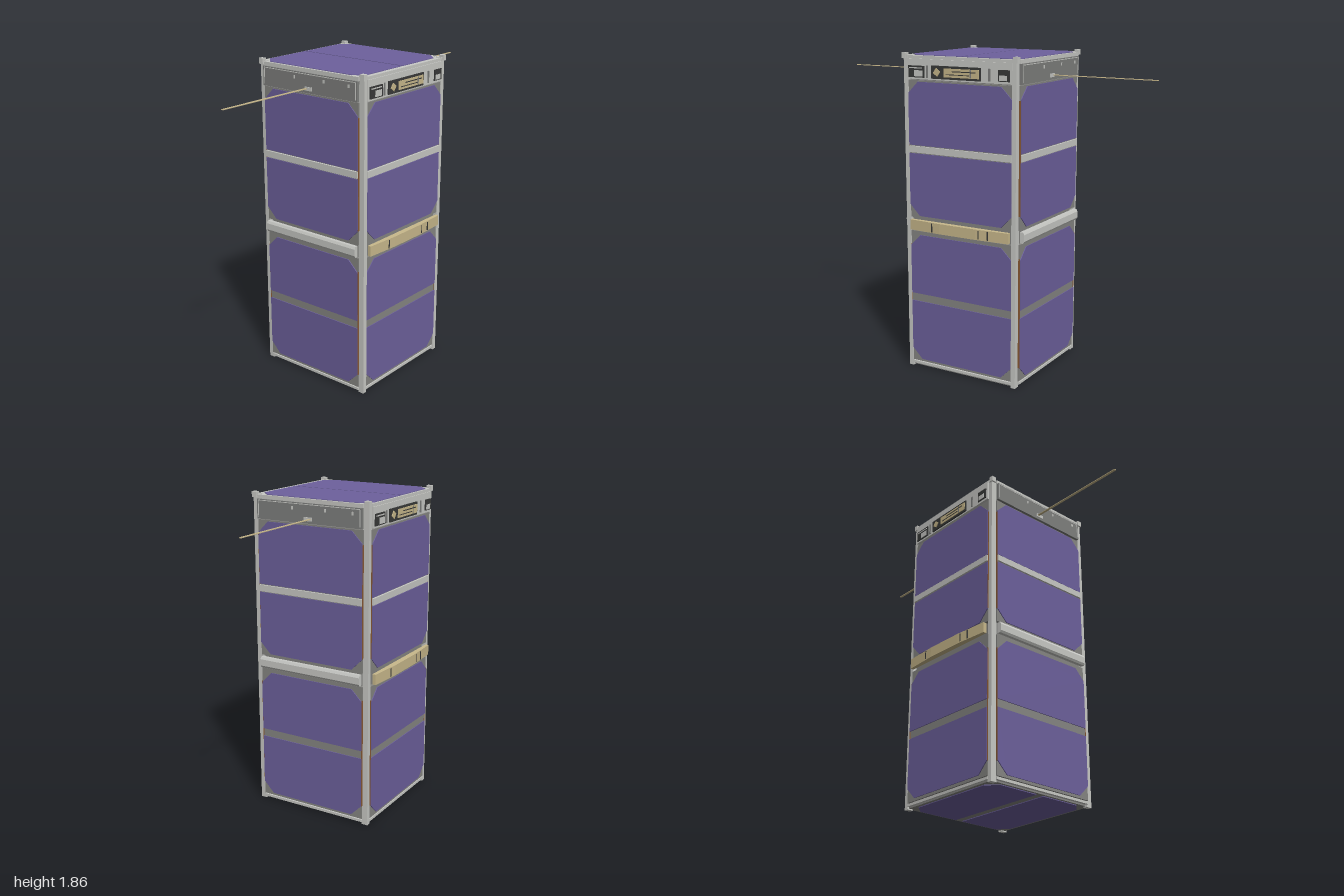
import * as THREE from 'three';

const mat = (name, color) => {
  const m = new THREE.MeshStandardMaterial({ color, side: THREE.DoubleSide });
  m.name = name;
  return m;
};

export function createModel() {
  const M = {
    cell: mat('solar cell purple', 0x6d619d),
    board: mat('panel grey', 0x868683),
    metal: mat('light aluminium', 0xc9cac6),
    head: mat('head grey', 0x7f807e),
    dark: mat('dark grey', 0x393a39),
    tan: mat('tan', 0xc9b98c),
    edge: mat('board edge brown', 0x8a5a35),
  };
  const model = new THREE.Group();
  model.name = 'satellite';

  const add = (parent, name, geo, material, x = 0, y = 0, z = 0) => {
    const mesh = new THREE.Mesh(geo, material);
    mesh.name = name;
    mesh.position.set(x, y, z);
    parent.add(mesh);
    return mesh;
  };
  // Box given by its limits on each axis
  const block = (parent, name, material, x0, x1, y0, y1, z0, z1) =>
    add(parent, name, new THREE.BoxGeometry(x1 - x0, y1 - y0, z1 - z0), material,
      (x0 + x1) / 2, (y0 + y1) / 2, (z0 + z1) / 2);
  const extrude = (points, depth) => new THREE.ExtrudeGeometry(
    new THREE.Shape(points.map(p => new THREE.Vector2(...p))), { depth, bevelEnabled: false });
  // Thin cell with cut corners; cuts are bottom left, bottom right, top right, top left
  const cell = (parent, x0, x1, y0, y1, z, cuts) => {
    const [a, b, c, d] = cuts;
    const pts = [[x0 + a, y0], [x1 - b, y0]];
    if (b) pts.push([x1, y0 + b]);
    pts.push([x1, y1 - c]);
    if (c) pts.push([x1 - c, y1]);
    pts.push([x0 + d, y1]);
    if (d) pts.push([x0, y1 - d]);
    if (a) pts.push([x0, y0 + a]);
    return add(parent, 'solarCell', extrude(pts, 0.005), M.cell, 0, 0, z);
  };

  // Core and corner rails
  block(model, 'core', M.board, -0.34, 0.34, 0.012, 1.835, -0.345, 0.345);
  for (const sx of [-1, 1]) for (const sz of [-1, 1]) {
    const rail = new THREE.Group();
    rail.name = 'cornerRail';
    rail.scale.set(sx, 1, sz);
    model.add(rail);
    block(rail, 'railPost', M.metal, 0.335, 0.362, 0, 1.845, 0.333, 0.37);
    block(rail, 'railFoot', M.metal, 0.345, 0.372, 1.825, 1.857, 0.345, 0.375);
  }

  // Each face is built facing +z, then turned; d is the depth of its surface
  const makeFace = (name, angle, d) => {
    const f = new THREE.Group();
    f.name = name;
    f.rotation.y = angle;
    model.add(f);
    for (const [y0, y1] of [[0.035, 0.835], [0.915, 1.705]]) {
      block(f, 'panelBoard', M.board, -0.337, 0.337, y0, y1, d - 0.02, d - 0.003);
      for (const s of [-1, 1])
        block(f, 'boardEdge', M.edge, s * 0.336 - 0.002, s * 0.336 + 0.002, y0 + 0.08, y1 - 0.08, d - 0.02, d);
    }
    const c = 0.065;
    for (const [y0, y1, cuts] of [
      [0.05, 0.41, [c, c, 0, 0]], [0.457, 0.813, [0, 0, c, c]],
      [0.927, 1.29, [c, c, 0, 0]], [1.338, 1.697, [0, 0, c, c]],
    ]) cell(f, -0.335, 0.335, y0, y1, d - 0.002, cuts);
    block(f, 'upperStrip', M.metal, -0.335, 0.335, 1.296, 1.333, d - 0.01, d + 0.008);
    block(f, 'bottomTrim', M.metal, -0.337, 0.337, 0.015, 0.03, d - 0.02, d - 0.002);
    block(f, 'topTrim', M.metal, -0.337, 0.337, 1.82, 1.842, d - 0.03, d);
    return f;
  };

  // Front and back: bowed tan bar and instrument head
  const makeInstrumentFace = (name, angle, d, bow) => {
    const f = makeFace(name, angle, d);
    const bar = add(f, 'middleBar', extrude([
      [-0.325, 0], [0.325, 0], [0.325, -0.02], [0.12, -0.02 - bow],
      [-0.12, -0.02 - bow], [-0.325, -0.02],
    ], 0.06), M.tan, 0, 0.905, d);
    bar.rotation.x = Math.PI / 2;
    bar.scale.y = -1;
    bar.rotation.x = -Math.PI / 2;
    bar.scale.y = 1;
    bar.position.y = 0.845;
    for (const x of [-0.17, 0.14, 0.2, 0.27])
      block(f, 'barDivider', M.dark, x - 0.003, x + 0.003, 0.85, 0.9, d, d + 0.022 + (Math.abs(x) < 0.21 ? bow * 0.8 : 0));

    const z = d + 0.006;
    block(f, 'headPlate', M.metal, -0.337, 0.337, 1.712, 1.825, d - 0.03, z);
    const plate = (n, m, x0, x1, y0, y1, h) => block(f, n, m, x0, x1, y0, y1, z - 0.002, z + h);
    plate('largeWindow', M.dark, -0.325, -0.22, 1.722, 1.787, 0.006);
    plate('largeWindowInset', M.metal, -0.285, -0.23, 1.728, 1.762, 0.008);
    plate('largeWindowLine', M.metal, -0.318, -0.23, 1.772, 1.778, 0.008);
    plate('instrumentPanel', M.dark, -0.17, 0.148, 1.72, 1.792, 0.008);
    plate('instrumentStrip', M.tan, -0.085, 0.14, 1.732, 1.78, 0.012);
    plate('instrumentSlotLower', M.dark, -0.07, 0.08, 1.745, 1.749, 0.014);
    plate('instrumentSlotUpper', M.dark, -0.03, 0.12, 1.762, 1.767, 0.014);
    plate('instrumentPart', M.head, 0.085, 0.092, 1.734, 1.778, 0.014);
    const diamond = add(f, 'diamondSensor', new THREE.BoxGeometry(0.034, 0.034, 0.014), M.tan, -0.132, 1.756, z + 0.005);
    diamond.rotation.z = Math.PI / 3.4;
    plate('smallWindow', M.dark, 0.257, 0.325, 1.725, 1.787, 0.006);
    plate('smallWindowInset', M.metal, 0.265, 0.312, 1.73, 1.758, 0.008);
    for (const x of [-0.2, 0.2]) plate('headRib', M.head, x - 0.005, x + 0.005, 1.722, 1.79, 0.005);
  };
  makeInstrumentFace('frontFace', 0, 0.368, 0.012);
  makeInstrumentFace('backFace', Math.PI, 0.375, 0.014);

  // Sides: rounded light bar, plain head and antenna
  for (const s of [1, -1]) {
    const d = 0.372;
    const f = makeFace(s > 0 ? 'leftFace' : 'rightFace', s * Math.PI / 2, d);
    const bar = add(f, 'middleBar', extrude([
      [0.005, 0.843], [-0.015, 0.843], [-0.022, 0.855], [-0.022, 0.893], [-0.015, 0.907], [0.005, 0.907],
    ], 0.66), M.metal, 0.33, 0, d);
    bar.rotation.y = Math.PI / 2;
    bar.position.x = -0.33;
    block(f, 'headPlate', M.head, -0.335, 0.335, 1.71, 1.82, d - 0.03, d + 0.008);
    for (const u of [-0.325, 0.325])
      block(f, 'headLine', M.metal, u - 0.002, u + 0.002, 1.72, 1.812, d, d + 0.01);
    block(f, 'headLine', M.metal, -0.325, 0.325, 1.811, 1.815, d, d + 0.01);
    block(f, 'antennaSlot', M.metal, -0.025, 0.025, 1.724, 1.745, d, d + 0.012);
    for (const u of [-0.1, 0.11, 0.28])
      block(f, 'headPin', M.metal, u - 0.005, u + 0.005, 1.78, 1.798, d, d + 0.012);
    const a = block(model, 'antenna', M.tan, 0.36, 1, 1.733, 1.737, -0.021, -0.007);
    a.position.x *= s;
  }

  // Top: two cells either side of a light seam
  const top = new THREE.Group();
  top.name = 'topFace';
  top.rotation.x = -Math.PI / 2;
  top.position.y = 1.835;
  model.add(top);
  block(top, 'topPlate', M.metal, -0.36, 0.36, -0.365, 0.368, -0.015, 0.006);
  cell(top, -0.358, -0.005, -0.34, 0.362, 0.005, [0.06, 0, 0, 0.06]);
  cell(top, 0.005, 0.358, -0.34, 0.362, 0.005, [0, 0.06, 0.06, 0]);

  // Bottom: two cells either side of a grey band
  const base = new THREE.Group();
  base.name = 'bottomFace';
  base.rotation.x = Math.PI / 2;
  base.position.y = 0.01;
  model.add(base);
  block(base, 'bottomPlate', M.board, -0.35, 0.35, -0.36, 0.36, -0.012, 0.003);
  cell(base, -0.335, 0.335, -0.34, -0.025, 0.002, [0.06, 0.06, 0, 0]);
  cell(base, -0.335, 0.335, 0.025, 0.34, 0.002, [0, 0, 0.06, 0.06]);

  return model;
}
